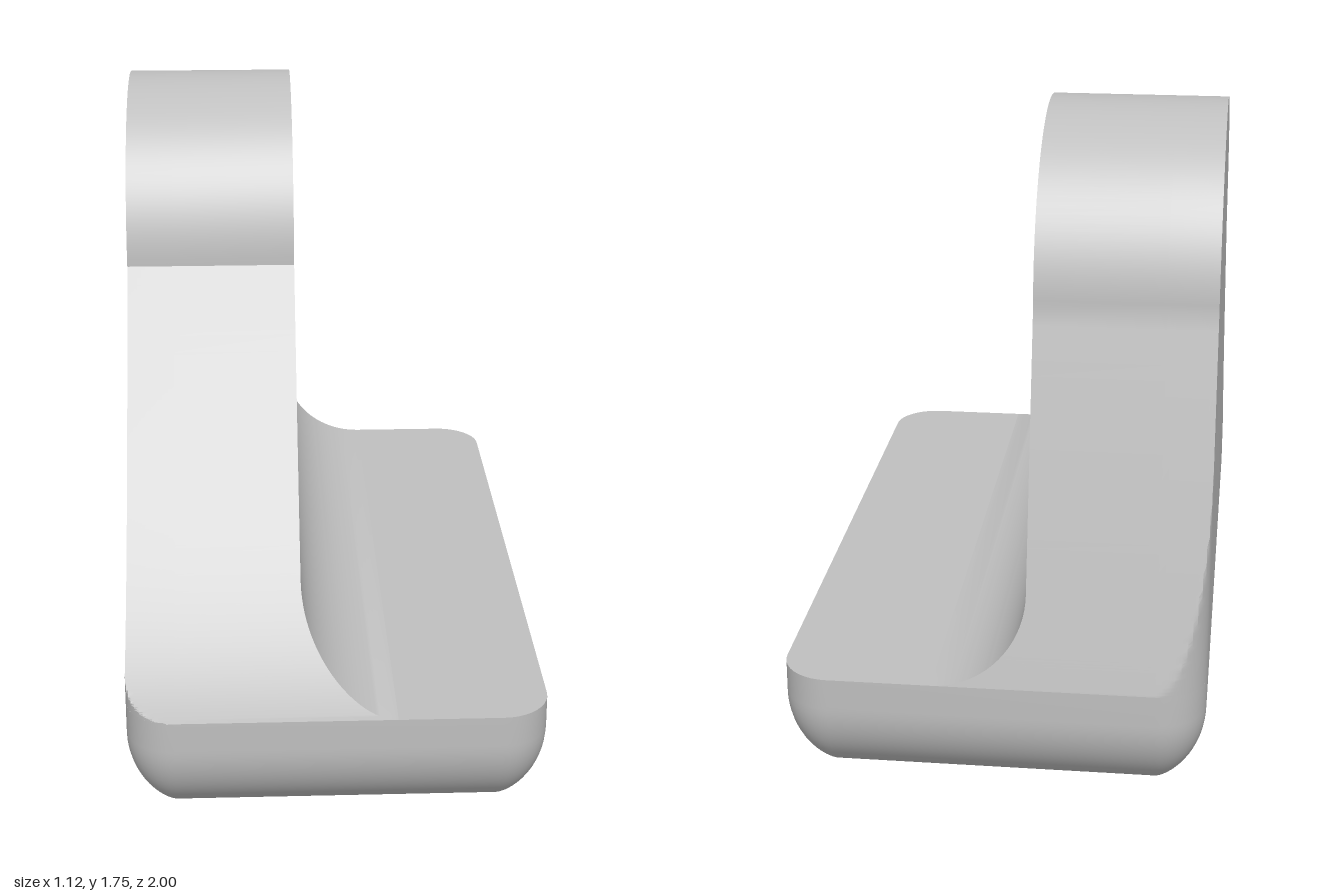
import * as THREE from 'three';
import { toCreasedNormals } from 'three/addons/utils/BufferGeometryUtils.js';

const HX = 0.56, HZ = 1, CORNER = 0.13; // footprint half sizes and corner radius
const BASE_TOP = 0.335, BOTTOM_R = 0.25; // base height and underside rounding
const QUARTER = Math.PI / 2;

// Skin a stack of rings (bottom to top, counter-clockwise from above) and cap both ends
function loft(rings) {
  const n = rings[0].length, index = [];
  for (let j = 0; j < rings.length - 1; j++) {
    for (let i = 0; i < n; i++) {
      const a = j * n + i, b = j * n + (i + 1) % n;
      index.push(a, b, b + n, a, b + n, a + n);
    }
  }
  const top = (rings.length - 1) * n;
  for (let i = 1; i < n - 1; i++) {
    index.push(0, i + 1, i, top, top + i, top + i + 1);
  }
  const geometry = new THREE.BufferGeometry();
  geometry.setAttribute('position', new THREE.Float32BufferAttribute(rings.flat(2), 3));
  geometry.setIndex(index);
  return toCreasedNormals(geometry, 0.45);
}

// Rounded rectangle, shrunk by an inset
function baseRing(y, inset) {
  const r = Math.max(CORNER - inset, 0), c = Math.max(CORNER, inset), ring = [];
  for (let q = 0; q < 4; q++) {
    const sx = q === 0 || q === 3 ? 1 : -1, sz = q < 2 ? -1 : 1;
    for (let k = 0; k <= 10; k++) {
      const a = (q + k / 10) * QUARTER;
      ring.push([sx * (HX - c) + r * Math.cos(a), y, sz * (HZ - c) - r * Math.sin(a)]);
    }
  }
  return ring;
}

function baseGeometry() {
  const rings = [];
  for (let k = 0; k <= 20; k++) {
    const a = (1 - k / 20) * QUARTER;
    rings.push(baseRing(BOTTOM_R * (1 - Math.sin(a)), BOTTOM_R * (1 - Math.cos(a))));
  }
  rings.push(baseRing(BASE_TOP, 0));
  return loft(rings);
}

// Inner wall of the upright, flaring into the base through a fillet
function innerX(y) {
  const wall = -0.09, r = 0.245, dy = Math.max(BASE_TOP + r - y, 0);
  return wall + r - Math.sqrt(Math.max(r * r - dy * dy, 0));
}

// Slice through the upright, kept inside the rounded footprint corners
function uprightRing(y, back, front) {
  const outer = [], x1 = innerX(y);
  for (let k = 0; k <= 12; k++) {
    const a = k / 12 * QUARTER;
    outer.push([-HX + CORNER - CORNER * Math.sin(a), HZ - CORNER + CORNER * Math.cos(a)]);
  }
  return [
    [x1, y, front], [x1, y, back],
    ...outer.map(([x, limit]) => [x, y, Math.max(back, -limit)]),
    ...outer.slice().reverse().map(([x, limit]) => [x, y, Math.min(front, limit)]),
  ];
}

function uprightGeometry() {
  const shoulder = 1.3, r = 0.45, cz = -0.325, rings = [];
  // Curved front slope and straight back slope
  const slope = new THREE.QuadraticBezierCurve(
    new THREE.Vector2(HZ, BASE_TOP), new THREE.Vector2(0.67, 0.46), new THREE.Vector2(cz + r, shoulder));
  for (let k = 0; k <= 56; k++) {
    const p = slope.getPoint(Math.pow(k / 56, 1.5));
    const f = (p.y - BASE_TOP) / (shoulder - BASE_TOP);
    rings.push(uprightRing(p.y, THREE.MathUtils.lerp(-HZ, cz - r, f), p.x));
  }
  // Round head
  for (let k = 1; k <= 32; k++) {
    const a = k / 32 * QUARTER, w = r * Math.cos(a);
    rings.push(uprightRing(shoulder + r * Math.sin(a), cz - w, cz + w));
  }
  return loft(rings);
}

export function createModel() {
  const model = new THREE.Group();
  model.name = 'bracket';
  const grey = new THREE.MeshStandardMaterial({ color: 0xbfbfbf });
  grey.name = 'grey';
  const add = (name, geometry) => {
    const mesh = new THREE.Mesh(geometry, grey);
    mesh.name = name;
    model.add(mesh);
  };
  add('base', baseGeometry());
  add('upright', uprightGeometry());
  return model;
}
